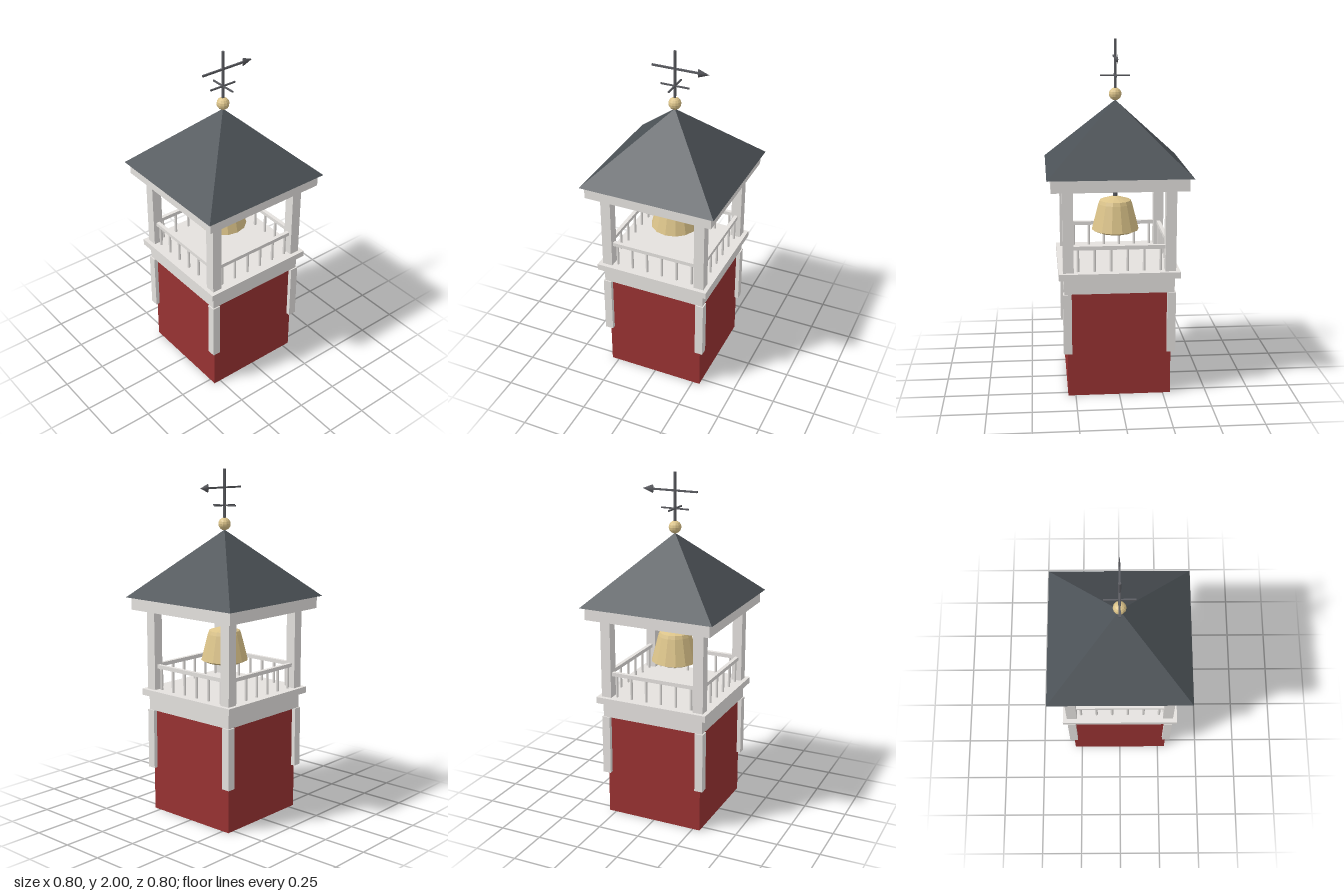
import * as THREE from 'three';

function paint(name, color) {
  const m = new THREE.MeshStandardMaterial({ color });
  m.name = name;
  return m;
}

export function createModel() {
  const white = paint('white trim', 0xe4e1de);
  const red = paint('barn red', 0x983232);
  const slate = paint('slate roof', 0x4b5156);
  const brass = paint('brass', 0xdcc48a);
  const iron = paint('dark iron', 0x5a5b60);
  for (const m of [slate, brass]) m.flatShading = true;

  const model = new THREE.Group();
  model.name = 'bellTower';

  const add = (name, geometry, material, x = 0, y = 0, z = 0, parent = model) => {
    const mesh = new THREE.Mesh(geometry, material);
    mesh.name = name;
    mesh.position.set(x, y, z);
    parent.add(mesh);
    return mesh;
  };
  // Square slab given by half width and its bottom and top heights
  const slab = (name, half, y0, y1, material, x = 0, z = 0) =>
    add(name, new THREE.BoxGeometry(half * 2, y1 - y0, half * 2), material, x, (y0 + y1) / 2, z);

  // Tower body, trim and platform
  slab('towerBase', 0.293, 0, 0.614, red);
  slab('trimBand', 0.31, 0.612, 0.7, white);
  slab('platform', 0.34, 0.7, 0.737, white);
  slab('roofBeam', 0.378, 1.205, 1.277, white);

  // Corner boards and belfry posts
  for (const sx of [-1, 1]) for (const sz of [-1, 1]) {
    slab('cornerBoard', 0.024, 0.26, 0.612, white, sx * 0.293, sz * 0.293);
    slab('belfryPost', 0.03, 0.737, 1.205, white, sx * 0.286, sz * 0.286);
  }

  // Railings on all four sides
  for (let side = 0; side < 4; side++) {
    const railing = new THREE.Group();
    railing.name = 'railing';
    railing.rotation.y = side * Math.PI / 2;
    model.add(railing);
    add('handrail', new THREE.BoxGeometry(0.53, 0.022, 0.022), white, 0, 0.874, 0.286, railing);
    for (let i = 0; i < 6; i++) {
      add('baluster', new THREE.CylinderGeometry(0.008, 0.008, 0.13, 8), white,
        (i - 2.5) * 0.0927, 0.801, 0.286, railing);
    }
  }

  // Pyramid roof
  const roof = new THREE.ConeGeometry(0.4 * Math.SQRT2, 0.384, 4);
  roof.rotateY(Math.PI / 4);
  add('roof', roof, slate, 0, 1.468, 0);

  // Bell and its hanger
  const profile = [[0, 0.892], [0.1, 0.892], [0.137, 0.908], [0.098, 1.06], [0.09, 1.08], [0, 1.108]]
    .map(([r, y]) => new THREE.Vector2(r, y));
  add('bell', new THREE.LatheGeometry(profile, 14), brass);
  add('bellHanger', new THREE.CylinderGeometry(0.013, 0.013, 0.11, 8), iron, 0, 1.152, 0);

  // Finial and weathervane
  add('finialBall', new THREE.SphereGeometry(0.036, 12, 8), brass, 0, 1.693, 0);
  add('vaneRod', new THREE.CylinderGeometry(0.008, 0.008, 0.34, 8), iron, 0, 1.83, 0);
  add('crossBarX', new THREE.BoxGeometry(0.168, 0.008, 0.008), iron, 0, 1.797, 0);
  add('crossBarZ', new THREE.BoxGeometry(0.008, 0.008, 0.168), iron, 0, 1.797, 0);
  add('arrowShaft', new THREE.BoxGeometry(0.27, 0.01, 0.01), iron, 0, 1.897, 0);
  const head = new THREE.ConeGeometry(0.025, 0.064, 4);
  head.rotateZ(-Math.PI / 2);
  head.scale(1, 1, 0.25);
  add('arrowHead', head, iron, 0.167, 1.897, 0);

  return model;
}
